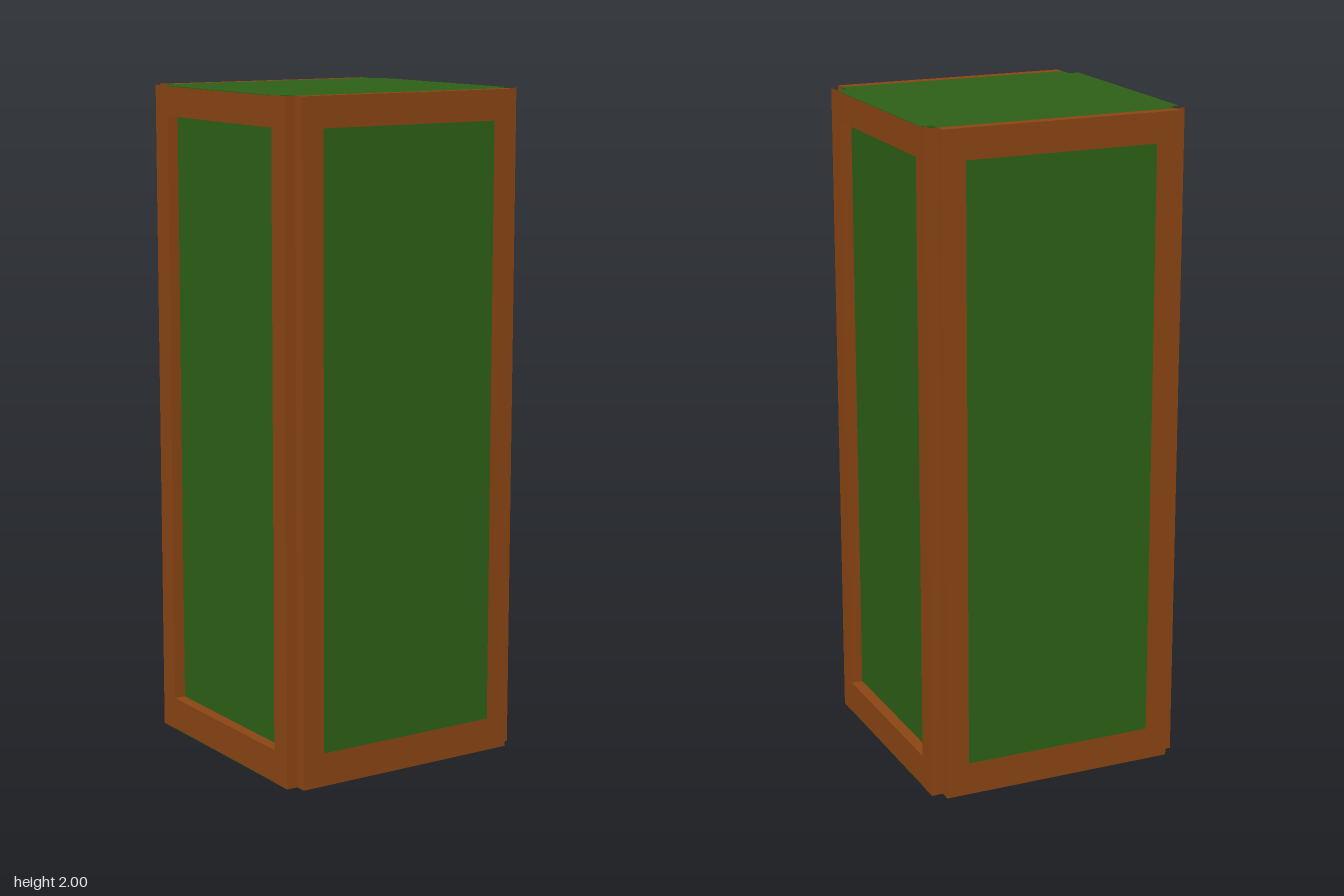
import * as THREE from 'three';

const H = 2, OUT = 0.4, CORE = 0.365, T = OUT - CORE;
const HOLE = 0.295, LOW = 0.1, HIGH = 1.91;

const brown = new THREE.MeshStandardMaterial({ color: 0x8b4513 });
const green = new THREE.MeshStandardMaterial({ color: 0x2d6016 });

// Box given by its lower and upper corners
function box(name, material, [x0, y0, z0], [x1, y1, z1]) {
  const geometry = new THREE.BoxGeometry(x1 - x0, y1 - y0, z1 - z0);
  geometry.translate((x0 + x1) / 2, (y0 + y1) / 2, (z0 + z1) / 2);
  const mesh = new THREE.Mesh(geometry, material);
  mesh.name = name;
  return mesh;
}

// Removes the top and bottom faces of a box
function openEnds(mesh) {
  const index = Array.from(mesh.geometry.index.array);
  mesh.geometry.setIndex([...index.slice(0, 12), ...index.slice(24)]);
  mesh.geometry.clearGroups();
  return mesh;
}

// Front or back: wooden frame with a flush panel
function flushSide(name) {
  const side = new THREE.Group();
  side.name = name;
  const outline = new THREE.Shape([[-CORE, 0], [CORE, 0], [CORE, H], [-CORE, H]].map(p => new THREE.Vector2(...p)));
  outline.holes.push(new THREE.Path([[-HOLE, LOW], [-HOLE, HIGH], [HOLE, HIGH], [HOLE, LOW]].map(p => new THREE.Vector2(...p))));
  const geometry = new THREE.ExtrudeGeometry(outline, { depth: T, bevelEnabled: false });
  geometry.translate(0, 0, CORE);
  const frame = new THREE.Mesh(geometry, brown);
  frame.name = name + 'Frame';
  side.add(frame, box(name + 'Panel', green, [-HOLE, LOW, CORE], [HOLE, HIGH, OUT]));
  return side;
}

// Left or right: raised frame around the recessed core
function recessedSide(name) {
  const side = new THREE.Group();
  side.name = name;
  const e = 0.002;
  for (const [a, b] of [[-CORE, -HOLE], [HOLE, CORE]]) {
    side.add(openEnds(box(name + 'Stile', brown, [CORE, 0, a], [OUT, H, b])));
  }
  side.add(
    box(name + 'BottomRail', brown, [CORE, e, -HOLE], [OUT, LOW, HOLE]),
    box(name + 'TopRail', brown, [CORE, HIGH, -HOLE], [OUT, H - e, HOLE])
  );
  return side;
}

export function createModel() {
  const model = new THREE.Group();
  model.name = 'framedColumn';

  // Solid core, showing through the side frames
  model.add(box('core', green, [-CORE, 0, -CORE], [CORE, H, CORE]));

  // Thin end plates reaching over the side rails
  for (const [name, y] of [['bottomPlate', 0], ['topPlate', H - 0.002]]) {
    model.add(box(name, green, [-OUT + 0.0005, y, -0.329], [OUT - 0.0005, y + 0.002, 0.319]));
  }

  const front = flushSide('front');
  const back = flushSide('back');
  back.rotation.y = Math.PI;
  const left = recessedSide('left');
  const right = recessedSide('right');
  right.rotation.y = Math.PI;
  model.add(front, back, left, right);
  return model;
}
